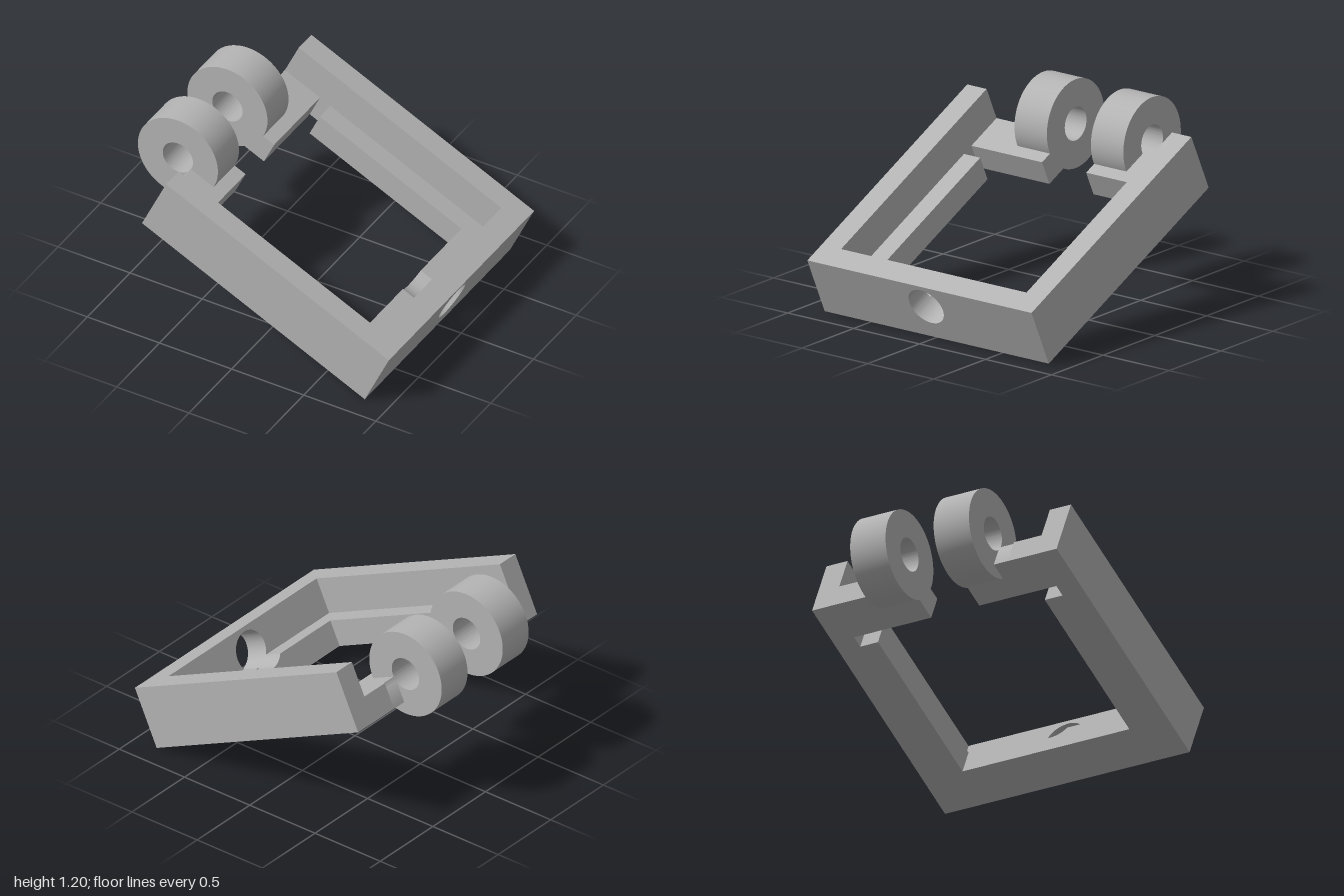
import * as THREE from 'three';
import { toCreasedNormals } from 'three/addons/utils/BufferGeometryUtils.js';

export function createModel() {
  const model = new THREE.Group();
  model.name = 'hingedFrame';
  const grey = new THREE.MeshStandardMaterial({ color: 0xb3b3b3 });
  grey.name = 'grey';

  // Tilted local frame: x runs along the frame, y is its thickness
  const frame = new THREE.Group();
  frame.name = 'tiltedFrame';
  frame.position.set(-0.71, 0.722, 0);
  frame.rotation.z = -THREE.MathUtils.degToRad(25);
  model.add(frame);

  const L = 1.704, H = 0.395, LEDGE = 0.168;
  const W = 0.85, WALL = 0.703, OPEN = 0.58;
  const END = 1.55, LIP = 1.43;

  function add(name, geometry) {
    const mesh = new THREE.Mesh(geometry, grey);
    mesh.name = name;
    frame.add(mesh);
  }
  function box(name, x0, x1, y0, y1, z0, z1) {
    const g = new THREE.BoxGeometry(x1 - x0, y1 - y0, z1 - z0);
    g.translate((x0 + x1) / 2, (y0 + y1) / 2, (z0 + z1) / 2);
    add(name, g);
  }
  function extrude(shape, depth) {
    const g = new THREE.ExtrudeGeometry(shape, { depth, bevelEnabled: false, curveSegments: 48 });
    return toCreasedNormals(g, 0.5);
  }
  // Extrude an x-y profile between two z values
  function alongZ(name, shape, z0, z1) {
    add(name, extrude(shape, z1 - z0).translate(0, 0, z0));
  }
  // Extrude a z-y profile between two x values
  function alongX(name, shape, x0, x1) {
    add(name, extrude(shape, x1 - x0).rotateY(Math.PI / 2).translate(x0, 0, 0));
  }

  // End wall with its round hole
  const holeY = 0.24, holeR = 0.127;
  const wall = new THREE.Shape();
  wall.moveTo(-W, 0).lineTo(W, 0).lineTo(W, H).lineTo(-W, H).closePath();
  wall.holes.push(new THREE.Path().absarc(0, holeY, holeR, 0, Math.PI * 2, true));
  alongX('endWall', wall, END, L);

  // End ledge, grooved where the hole passes over it
  const a = Math.asin((LEDGE - holeY) / holeR);
  const ledge = new THREE.Shape();
  ledge.moveTo(-WALL, 0).lineTo(WALL, 0).lineTo(WALL, LEDGE);
  ledge.lineTo(holeR * Math.cos(a), LEDGE);
  ledge.absarc(0, holeY, holeR, a, -Math.PI - a, true);
  ledge.lineTo(-WALL, LEDGE).closePath();
  alongX('endLedge', ledge, LIP, END);

  // Hinge ring profile
  const hx = -0.094, hy = 0.178, bore = 0.105;
  const ring = new THREE.Shape().absarc(hx, hy, 0.2775, 0, Math.PI * 2, false);
  ring.holes.push(new THREE.Path().absarc(hx, hy, bore, 0, Math.PI * 2, true));

  // Arm profile whose upper corner is clipped by the hinge bore
  const a0 = Math.asin((LEDGE - hy) / bore), a1 = -Math.acos(-hx / bore);
  const arm = new THREE.Shape();
  arm.moveTo(0, 0).lineTo(0.268, 0).lineTo(0.268, LEDGE);
  arm.lineTo(hx + bore * Math.cos(a0), LEDGE);
  arm.absarc(hx, hy, bore, a0, a1, true).closePath();

  for (const s of [1, -1]) {
    const side = s > 0 ? 'left' : 'right';
    const span = (z0, z1) => (s > 0 ? [z0, z1] : [-z1, -z0]);
    box(side + 'SideWall', 0, END, 0, H, ...span(WALL, W));
    box(side + 'SideLedge', 0.347, LIP, 0, LEDGE, ...span(OPEN, WALL));
    box(side + 'ArmRoot', 0, 0.268, 0, LEDGE, ...span(0.51, WALL));
    alongZ(side + 'Arm', arm, ...span(0.167, 0.51));
    alongZ(side + 'HingeRing', ring, ...span(0.167, 0.413));
  }
  return model;
}
